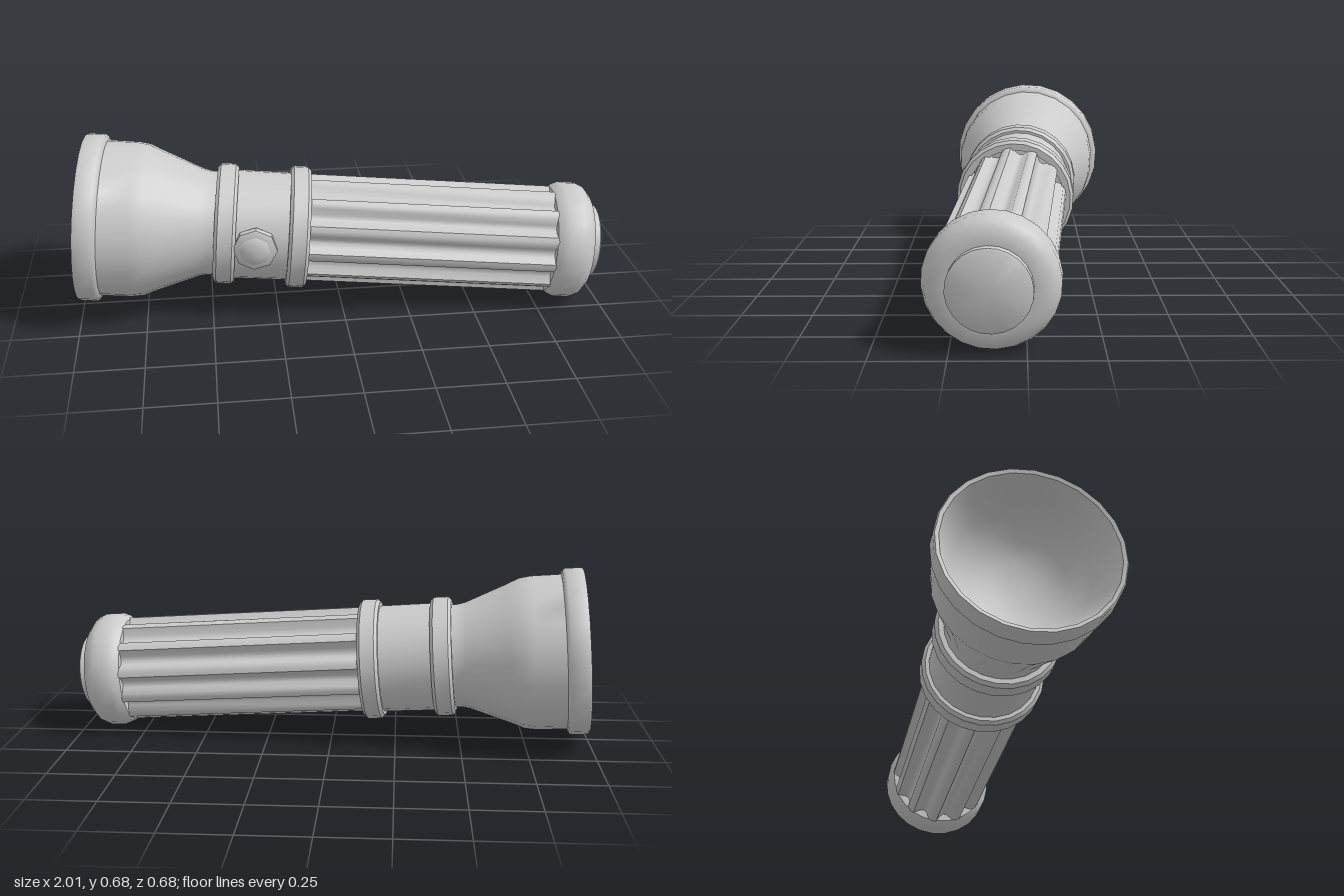
import * as THREE from 'three';
import { toCreasedNormals } from 'three/addons/utils/BufferGeometryUtils.js';

const material = new THREE.MeshStandardMaterial({ color: 0xcccccc, side: THREE.DoubleSide });

// Turned part from [position along the axis, radius] pairs
function turned(name, profile, sides = 24, crease = 0.75) {
  const points = profile.map(([s, r]) => new THREE.Vector2(r, s));
  const geometry = toCreasedNormals(new THREE.LatheGeometry(points, sides), crease);
  const mesh = new THREE.Mesh(geometry, material);
  mesh.name = name;
  return mesh;
}

// Raised collar with softened edges
function collar(name, start, end, radius) {
  const b = 0.012;
  return turned(name, [
    [start, 0.195], [start, radius - b], [start + b, radius],
    [end - b, radius], [end, radius - b], [end, 0.195],
  ]);
}

// Handle tube with lengthwise flutes
function flutedGrip(start, end) {
  const flutes = 12, steps = 6;
  const radii = [0.205, 0.205, 0.2, 0.175, 0.17, 0.18];
  const geometry = new THREE.CylinderGeometry(1, 1, end - start, flutes * steps, 1, true);
  const p = geometry.attributes.position;
  for (let i = 0; i < p.count; i++) {
    const r = radii[(i % (flutes * steps + 1)) % steps];
    p.setX(i, p.getX(i) * r);
    p.setZ(i, p.getZ(i) * r);
  }
  geometry.translate(0, (start + end) / 2, 0);
  const mesh = new THREE.Mesh(toCreasedNormals(geometry, 0.9), material);
  mesh.name = 'flutedGrip';
  return mesh;
}

export function createModel() {
  const model = new THREE.Group();
  model.name = 'flashlight';

  // All parts share one tilted axis, lens end at negative positions
  const body = new THREE.Group();
  body.name = 'body';
  body.position.set(0, 0.297, 0.048);
  const axis = new THREE.Vector3(1, -0.0755, 0.0723).normalize();
  body.quaternion.setFromUnitVectors(new THREE.Vector3(0, 1, 0), axis);
  model.add(body);

  // Hollow head: reflector bowl, rim, bell and neck
  body.add(turned('head', [
    [-0.73, 0], [-0.735, 0.1], [-0.76, 0.18], [-0.82, 0.24], [-0.9, 0.275], [-0.972, 0.3],
    [-0.976, 0.314], [-0.968, 0.319], [-0.908, 0.319], [-0.897, 0.311], [-0.893, 0.297],
    [-0.78, 0.296], [-0.735, 0.29], [-0.69, 0.27], [-0.53, 0.207], [-0.5, 0.2], [-0.46, 0.2],
  ]));

  // Barrel between the two collars
  body.add(collar('frontCollar', -0.476, -0.396, 0.231));
  body.add(turned('barrel', [[-0.42, 0.209], [-0.16, 0.207]]));
  body.add(collar('rearCollar', -0.2, -0.122, 0.234));

  body.add(flutedGrip(-0.16, 0.85));

  // Rounded tail cap with a raised end disc
  body.add(turned('tailCap', [
    [0.81, 0.16], [0.81, 0.203], [0.825, 0.215], [0.85, 0.225], [0.905, 0.225],
    [0.935, 0.212], [0.957, 0.185], [0.963, 0.145], [0.963, 0.14],
  ]));
  body.add(turned('tailDisc', [[0.955, 0.14], [0.99, 0.14], [0.995, 0.133], [0.995, 0]]));

  // Eight-sided switch with a domed button
  const button = new THREE.Group();
  button.name = 'switch';
  button.position.set(-0.014, -0.322, 0.195);
  button.rotation.x = Math.PI / 2;
  button.add(turned('switchBase', [[0, 0.083], [0.024, 0.083], [0.034, 0.064], [0.034, 0.05]], 8));
  button.add(turned('switchDome', [[0.03, 0.064], [0.04, 0.052], [0.048, 0.03], [0.05, 0]], 8, 0.9));
  body.add(button);

  return model;
}
